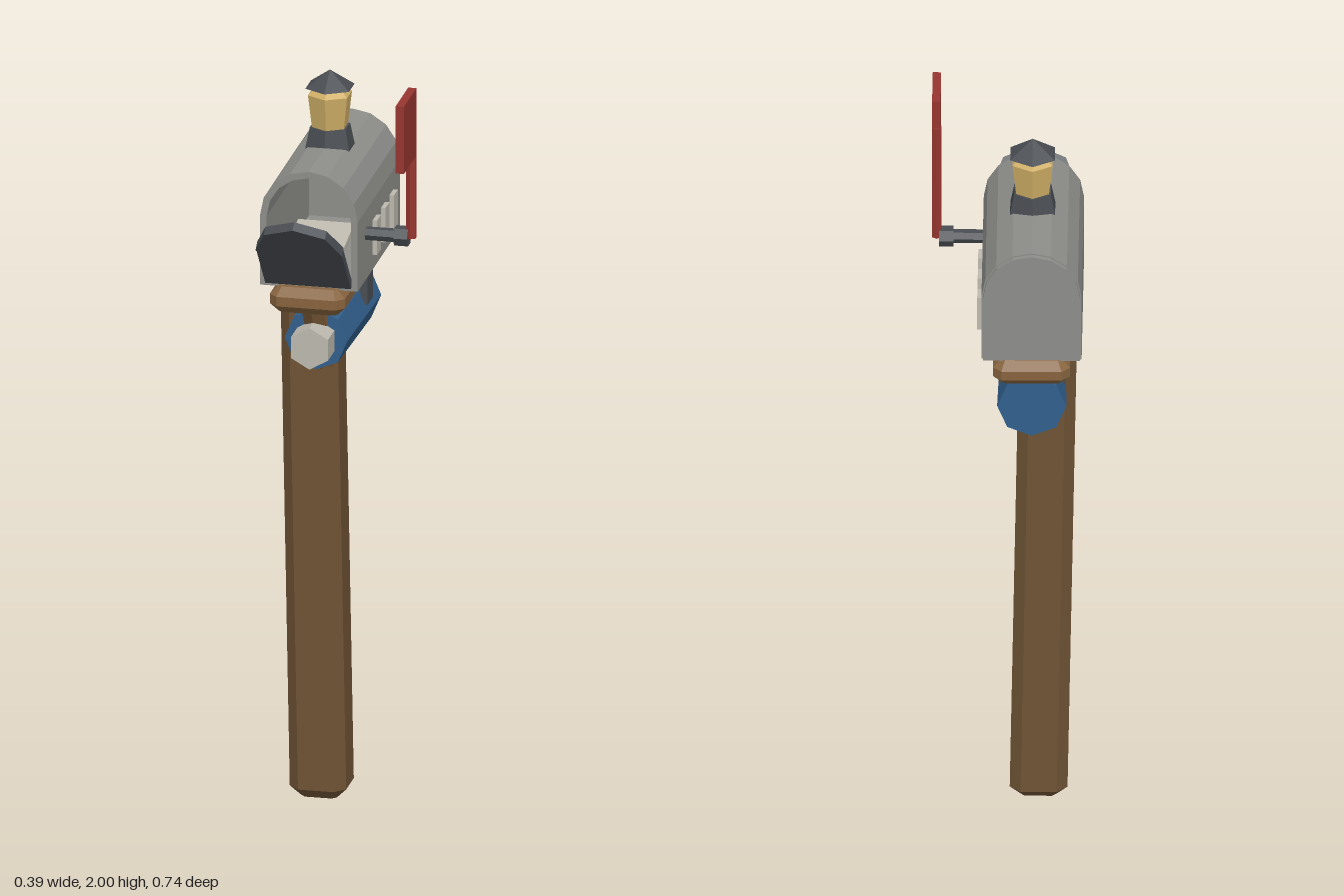
import * as THREE from 'three';

const CX = -0.07; // centre line of the box, lantern and tube

const mat = (color) => new THREE.MeshStandardMaterial({ color, flatShading: true });
const mats = {
  post: mat(0x6f5335), wood: mat(0x87643f), metal: mat(0x8d8d8a), dark: mat(0x494d52),
  blue: mat(0x315f8c), paper: mat(0xbdb9ae), red: mat(0x96352f), amber: mat(0xcfae66),
};

// Upright box, chamfered on every edge, standing on its origin
function chamferBox(w, h, d, c) {
  const x = w / 2, z = d / 2;
  const pts = [[x - c, -z], [x, c - z], [x, z - c], [x - c, z], [c - x, z], [-x, z - c], [-x, c - z], [c - x, -z]];
  const shape = new THREE.Shape(pts.map(([a, b]) => new THREE.Vector2(a, b)));
  return new THREE.ExtrudeGeometry(shape, {
    depth: h - 2 * c, bevelSegments: 1, bevelThickness: c, bevelSize: c, bevelOffset: -c,
  }).translate(0, 0, c).rotateX(-Math.PI / 2);
}

// Round-topped outline: half width r, straight sides from y0 up to y1
function arch(r, y0, y1, Type = THREE.Shape) {
  const s = new Type();
  s.moveTo(-r, y0);
  s.lineTo(r, y0);
  s.lineTo(r, y1);
  s.absarc(0, y1, r, 0, Math.PI, false);
  s.closePath();
  return s;
}

export function createModel() {
  const root = new THREE.Group();
  function add(name, geo, material, x = 0, y = 0, z = 0, parent = root) {
    const m = new THREE.Mesh(geo, material);
    m.name = name;
    m.position.set(x, y, z);
    parent.add(m);
    return m;
  }
  const box = (w, h, d) => new THREE.BoxGeometry(w, h, d);
  const cyl = (a, b, h, n) => new THREE.CylinderGeometry(a, b, h, n);

  // Leaning post: sideways shift grows with height
  const postGeo = chamferBox(0.15, 1.41, 0.147, 0.028);
  const p = postGeo.attributes.position;
  for (let i = 0; i < p.count; i++) p.setX(i, p.getX(i) - 0.018 * p.getY(i));
  postGeo.computeVertexNormals();
  add('post', postGeo, mats.post, -0.085, 0, -0.052);

  // Diagonal brace under the platform
  add('brace', cyl(0.034, 0.034, 0.25, 6), mats.wood, CX, 1.3, 0.05).rotation.x = 0.55;

  add('platform', chamferBox(0.2, 0.07, 0.58, 0.022), mats.wood, CX, 1.4, -0.08);

  // Newspaper tube, rolled paper and hanging straps
  add('paperTube', cyl(0.083, 0.09, 0.375, 8).rotateX(Math.PI / 2), mats.blue, CX, 1.295, -0.1);
  add('rolledPaper', cyl(0.057, 0.057, 0.12, 6).rotateX(Math.PI / 2), mats.paper, CX, 1.295, 0.105);
  for (const s of [-1, 1]) add('tubeStrap', box(0.02, 0.1, 0.064), mats.dark, CX + s * 0.075, 1.365, -0.177);

  // Mailbox shell, open at the front, with a back plate
  const shell = arch(0.13, 1.465, 1.655);
  shell.holes.push(arch(0.112, 1.483, 1.655, THREE.Path));
  add('mailboxShell', new THREE.ExtrudeGeometry(shell, { depth: 0.505, bevelEnabled: false, curveSegments: 4 }),
    mats.metal, CX, 0, -0.333);
  add('backPlate', new THREE.ExtrudeGeometry(arch(0.126, 1.467, 1.655),
    { depth: 0.013, bevelEnabled: false, curveSegments: 4 }), mats.metal, CX, 0, -0.346);

  // Letter lying inside
  const letter = new THREE.Group();
  letter.name = 'letter';
  letter.position.set(CX - 0.01, 1.535, 0.0);
  letter.rotation.x = 0.2;
  root.add(letter);
  add('envelope', box(0.15, 0.02, 0.17), mats.paper, 0, 0, 0, letter);
  add('stamp', box(0.035, 0.006, 0.035), mats.red, 0.045, 0.012, 0.05, letter);

  // Open door, tilted forward about its lower hinge
  const door = new THREE.Group();
  door.name = 'door';
  door.position.set(CX, 1.48, 0.172);
  door.rotation.x = 0.7;
  root.add(door);
  add('doorPanel', box(0.228, 0.17, 0.02), mats.dark, 0, 0.085, 0, door);
  add('doorRound', cyl(0.115, 0.115, 0.026, 8).rotateX(Math.PI / 2), mats.dark, 0, 0.17, 0, door);

  // Pale side slots
  for (const z of [-0.23, -0.13, -0.03]) add('sideSlot', box(0.02, 0.095, 0.047), mats.paper, 0.062, 1.553, z);

  // Signal flag on its arm
  add('flagArm', cyl(0.018, 0.018, 0.13, 6).rotateZ(Math.PI / 2), mats.dark, 0.11, 1.592, 0.072);
  add('flagCollar', cyl(0.027, 0.027, 0.037, 6).rotateZ(Math.PI / 2), mats.dark, 0.156, 1.592, 0.072);
  add('flagPole', cyl(0.014, 0.014, 0.33, 6), mats.red, 0.181, 1.755, 0.075);
  add('flagPanel', box(0.022, 0.185, 0.15), mats.red, 0.182, 1.9075, 0.143);

  // Lantern on the roof
  const lantern = new THREE.Group();
  lantern.name = 'lantern';
  lantern.position.set(CX, 0, -0.08);
  root.add(lantern);
  add('lanternBase', cyl(0.055, 0.068, 0.06, 6), mats.dark, 0, 1.797, 0, lantern);
  add('lanternGlass', cyl(0.06, 0.049, 0.09, 6), mats.amber, 0, 1.87, 0, lantern);
  add('lanternCap', cyl(0.035, 0.06, 0.022, 6), mats.amber, 0, 1.926, 0, lantern);
  add('lanternRoof', cyl(0, 0.067, 0.046, 6), mats.dark, 0, 1.957, 0, lantern);

  return root;
}
